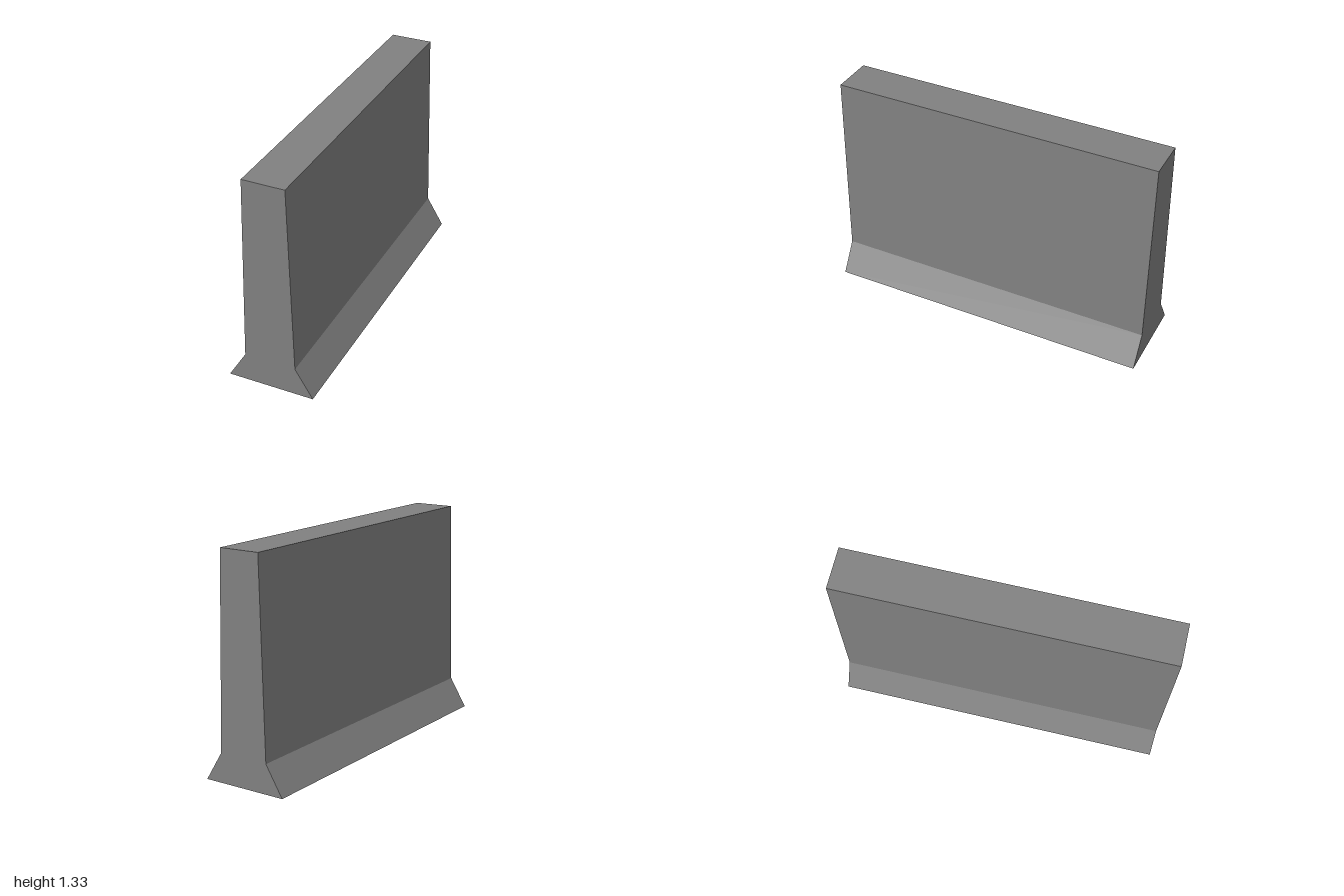
import * as THREE from 'three';

export function createModel() {
  const concrete = new THREE.MeshStandardMaterial({ color: 0x808080 });
  concrete.name = 'concreteGrey';

  // Half profile (x, y): flared foot, break line, tapered stem
  const half = [[0.265, 0], [0.157, 0.177], [0.128, 1.333]];
  const mirrored = half.map(([x, y]) => [-x, y]).reverse();
  const profile = new THREE.Shape(
    [...half, ...mirrored].map(([x, y]) => new THREE.Vector2(x, y))
  );

  // Barrier section, extruded along z and centred
  const length = 2;
  const geometry = new THREE.ExtrudeGeometry(profile, { depth: length, bevelEnabled: false });
  geometry.translate(0, 0, -length / 2);

  const barrier = new THREE.Mesh(geometry, concrete);
  barrier.name = 'barrierWall';

  const group = new THREE.Group();
  group.name = 'concreteBarrier';
  group.add(barrier);
  return group;
}
